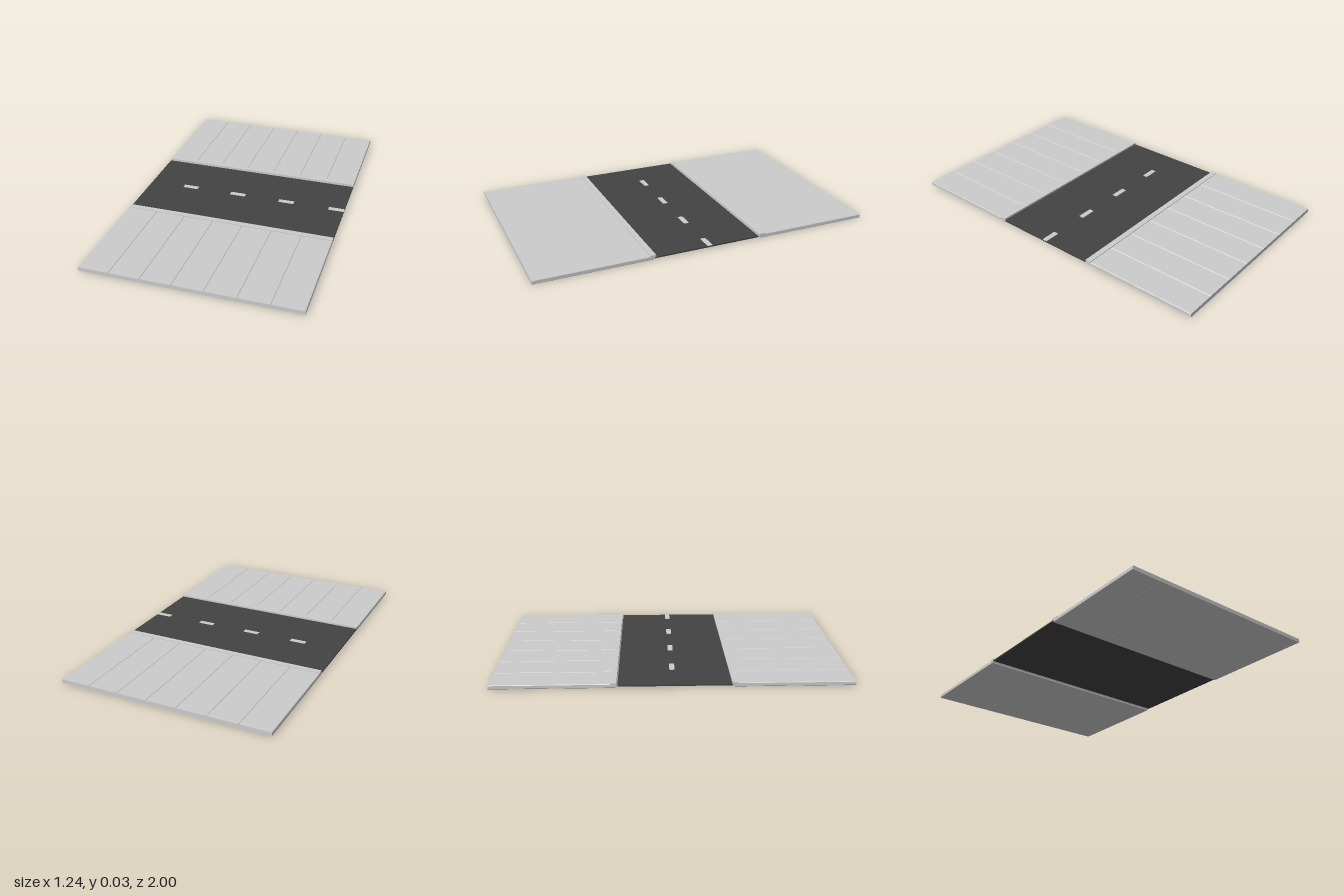
import * as THREE from 'three';

const WIDTH = 1.24, PANELS = 7, PITCH = WIDTH / PANELS;

export function createModel() {
  const group = new THREE.Group();
  const concrete = new THREE.MeshStandardMaterial({ color: 0xcccccc, flatShading: true });
  const asphalt = new THREE.MeshStandardMaterial({ color: 0x434343, flatShading: true });

  // box given by its limits on each axis
  function box(name, material, [x0, x1], [y0, y1], [z0, z1]) {
    const mesh = new THREE.Mesh(new THREE.BoxGeometry(x1 - x0, y1 - y0, z1 - z0), material);
    mesh.position.set((x0 + x1) / 2, (y0 + y1) / 2, (z0 + z1) / 2);
    mesh.name = name;
    group.add(mesh);
  }

  // paving slab cross-section, chamfered along the joints
  const h = PITCH / 2, c = 0.003, top = 0.023;
  const profile = new THREE.Shape([
    [-h + c, 0], [h - c, 0], [h, c], [h, top - c],
    [h - c, top], [-h + c, top], [-h, top - c], [-h, c],
  ].map(([x, y]) => new THREE.Vector2(x, y)));

  function pavement(name, z0, z1) {
    const geometry = new THREE.ExtrudeGeometry(profile, { depth: z1 - z0, bevelEnabled: false });
    for (let i = 0; i < PANELS; i++) {
      const slab = new THREE.Mesh(geometry, concrete);
      slab.name = name + 'Slab' + (i + 1);
      slab.position.set((i - (PANELS - 1) / 2) * PITCH, 0, z0);
      group.add(slab);
    }
  }
  pavement('frontPavement', 0.335, 1);
  pavement('backPavement', -1, -0.315);

  // kerbs capping the inner pavement edges
  const across = [-WIDTH / 2, WIDTH / 2];
  box('frontKerb', concrete, across, [0.008, 0.027], [0.322, 0.355]);
  box('backKerb', concrete, across, [0.008, 0.027], [-0.342, -0.309]);

  // road and its dashed centre line
  box('road', asphalt, across, [0.008, 0.016], [-0.303, 0.33]);
  for (let i = 0; i < 4; i++) {
    const x = -0.405 + i * 0.31;
    box('laneDash' + (i + 1), concrete, [x, x + 0.095], [0.01, 0.018], [-0.015, 0.015]);
  }
  return group;
}
